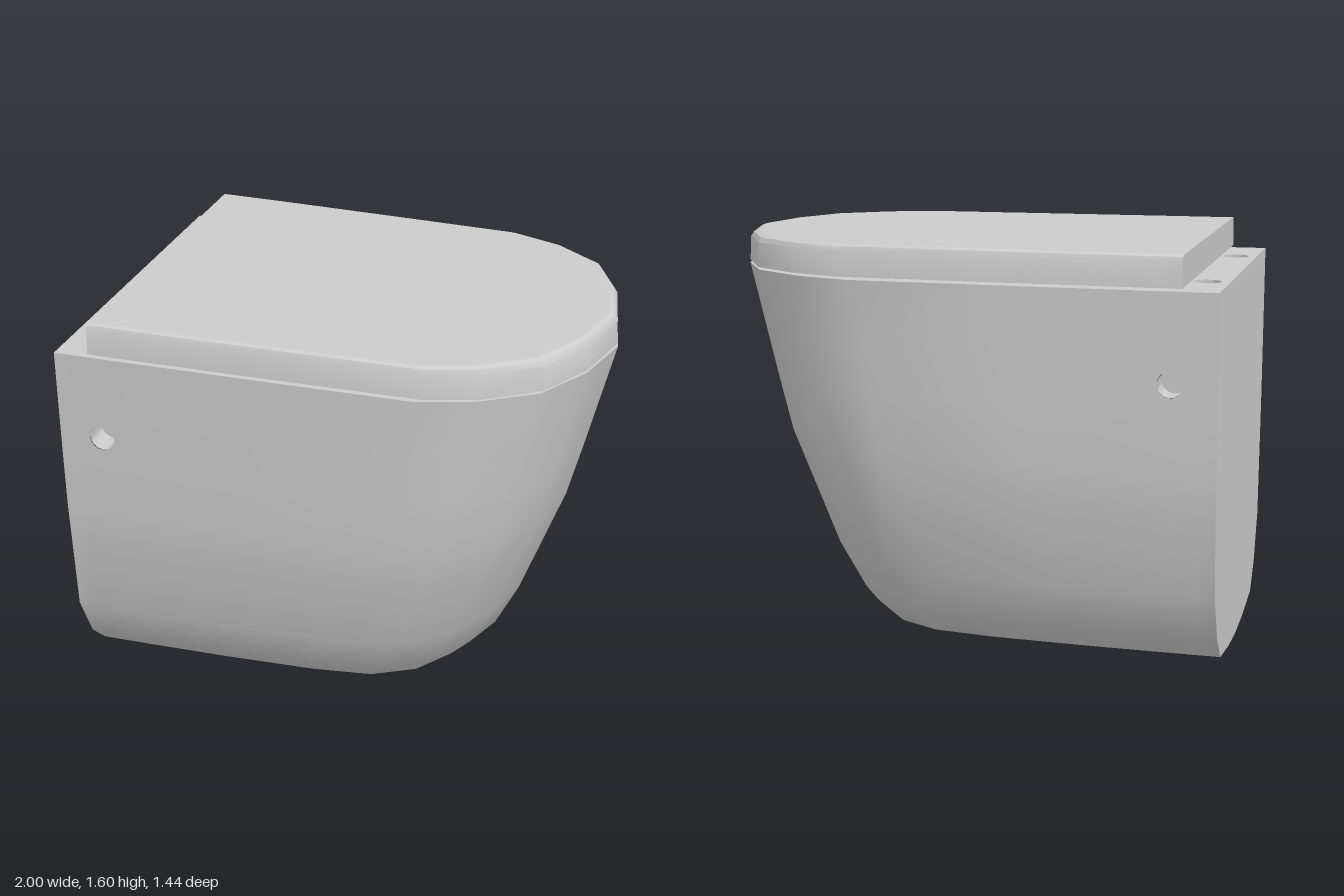
import * as THREE from 'three';
import { toCreasedNormals } from 'three/addons/utils/BufferGeometryUtils.js';

const material = new THREE.MeshStandardMaterial({ color: 0xcccccc });
const doubleSided = new THREE.MeshStandardMaterial({ color: 0xcccccc, side: THREE.DoubleSide });

// Half outline as [length fraction, width fraction], from the wall to the nose
const UPPER = [[0, 1], [0.04, 0.998], [0.14, 0.995], [0.4, 0.978], [0.7, 0.955], [0.805, 0.86], [0.91, 0.665], [0.97, 0.36], [1, 0]];
const LOWER = [[0, 1], [0.04, 0.997], [0.14, 0.985], [0.36, 0.955], [0.62, 0.9], [0.78, 0.82], [0.89, 0.62], [0.96, 0.3], [1, 0]];

// One horizontal section: +z wall corner, round the nose, to the -z wall corner
function section([y, nose, width], back) {
  const f = THREE.MathUtils.clamp((y - 0.04) / 0.76, 0, 1);
  const half = UPPER.map(([u, v], i) => new THREE.Vector3(
    back + (nose - back) * THREE.MathUtils.lerp(LOWER[i][0], u, f), y,
    width * THREE.MathUtils.lerp(LOWER[i][1], v, f)));
  const mirrored = half.slice(0, -1).reverse().map(p => new THREE.Vector3(p.x, p.y, -p.z));
  return [...half, ...mirrored];
}

// Skin between sections listed from top to bottom; skip(i, j) leaves a cell open
function loft(rows, skip = () => false) {
  const n = rows[0].length, index = [];
  for (let i = 0; i < rows.length - 1; i++) {
    for (let j = 0; j < n - 1; j++) {
      if (skip(i, j)) continue;
      const a = i * n + j, c = a + n;
      index.push(a, c, a + 1, c, c + 1, a + 1);
    }
  }
  const g = new THREE.BufferGeometry().setFromPoints(rows.flat());
  g.setIndex(index);
  return toCreasedNormals(g, 0.62);
}

// Flat cap over a section, facing up or down, with optional round holes
function cap(row, up, holes = []) {
  const s = new THREE.Shape(row.map(p => new THREE.Vector2(p.x, up ? -p.z : p.z)));
  for (const [x, z, r] of holes) s.holes.push(new THREE.Path().absarc(x, z, r, 0, Math.PI * 2));
  const g = new THREE.ShapeGeometry(s, 16);
  g.rotateX(up ? -Math.PI / 2 : Math.PI / 2);
  return g.translate(0, row[0].y, 0);
}

// Flat end on the wall side, through the first and last point of each section
function backFace(rows) {
  const side = rows.map(r => new THREE.Vector2(r[0].z, r[0].y));
  const other = side.map(p => new THREE.Vector2(-p.x, p.y)).reverse().filter(p => p.x < 0);
  const g = new THREE.ShapeGeometry(new THREE.Shape([...side, ...other]));
  return g.rotateY(-Math.PI / 2).translate(rows[0][0].x, 0, 0);
}

// Fills one skin cell with a patch that has a round hole
function holedCell(rows, i, j) {
  const s = new THREE.Shape([[0, 0], [1, 0], [1, 1], [0, 1]].map(p => new THREE.Vector2(...p)));
  s.holes.push(new THREE.Path().absellipse(0.5, 0.5, 0.26, 0.25, 0, Math.PI * 2));
  const g = new THREE.ShapeGeometry(s, 16), pos = g.attributes.position;
  for (let k = 0; k < pos.count; k++) {
    const u = pos.getX(k), v = pos.getY(k);
    const low = rows[i + 1][j].clone().lerp(rows[i + 1][j + 1], u);
    const p = low.lerp(rows[i][j].clone().lerp(rows[i][j + 1], u), v);
    pos.setXYZ(k, p.x, p.y, p.z);
  }
  g.computeVertexNormals();
  return g;
}

// Blind round hole opening towards +y
function recess(r, depth) {
  const pts = [[r, 0], [r, -depth], [0, -depth]].map(p => new THREE.Vector2(...p));
  return toCreasedNormals(new THREE.LatheGeometry(pts, 32), 0.6);
}

export function createModel() {
  const model = new THREE.Group();
  model.name = 'wallHungToilet';
  const add = (parent, name, geometry, mat = material) => {
    const mesh = new THREE.Mesh(geometry, mat);
    mesh.name = name;
    parent.add(mesh);
    return mesh;
  };

  // Bowl body: [height, nose x, half width], ending in the shallow keel
  const bowl = new THREE.Group();
  bowl.name = 'bowl';
  model.add(bowl);
  const rows = [
    [1.47, 1, 0.72], [1.23, 0.94, 0.716], [1.03, 0.89, 0.712], [0.8, 0.83, 0.705],
    [0.33, 0.655, 0.67], [0.14, 0.56, 0.575], [0.04, 0.47, 0.47], [0.01, 0.27, 0.22], [0, 0.2, 0],
  ].map(l => section(l, -1));
  const holeColumns = [1, 14];
  add(bowl, 'bowlSkin', loft(rows, (i, j) => i === 1 && holeColumns.includes(j)));
  add(bowl, 'wallFace', backFace(rows));
  add(bowl, 'bowlTop', cap(rows[0], true, [[-0.915, 0.41, 0.05], [-0.915, -0.41, 0.05]]));

  // Fixing holes in the sides and hinge holes in the top
  for (const side of [1, -1]) {
    add(bowl, 'sideHolePanel', holedCell(rows, 1, holeColumns[side > 0 ? 0 : 1]));
    const fixing = add(bowl, 'fixingHole', recess(0.05, 0.1), doubleSided);
    fixing.rotation.x = side * Math.PI / 2;
    fixing.position.set(-0.828, 1.13, side * 0.708);
    const hinge = add(bowl, 'hingeHole', recess(0.05, 0.1), doubleSided);
    hinge.position.set(-0.915, 1.47, side * 0.41);
  }

  // Lid with a softened upper edge, hovering just above the rim
  const lid = new THREE.Group();
  lid.name = 'lid';
  model.add(lid);
  const lidRows = [
    [1.6, 0.96, 0.685], [1.593, 0.98, 0.698], [1.575, 0.992, 0.706], [1.48, 0.996, 0.713],
  ].map(l => section(l, -0.865));
  add(lid, 'lidEdge', loft(lidRows));
  add(lid, 'lidTop', cap(lidRows[0], true));
  add(lid, 'lidUnderside', cap(lidRows[3], false));
  add(lid, 'lidBack', backFace(lidRows));

  return model;
}
